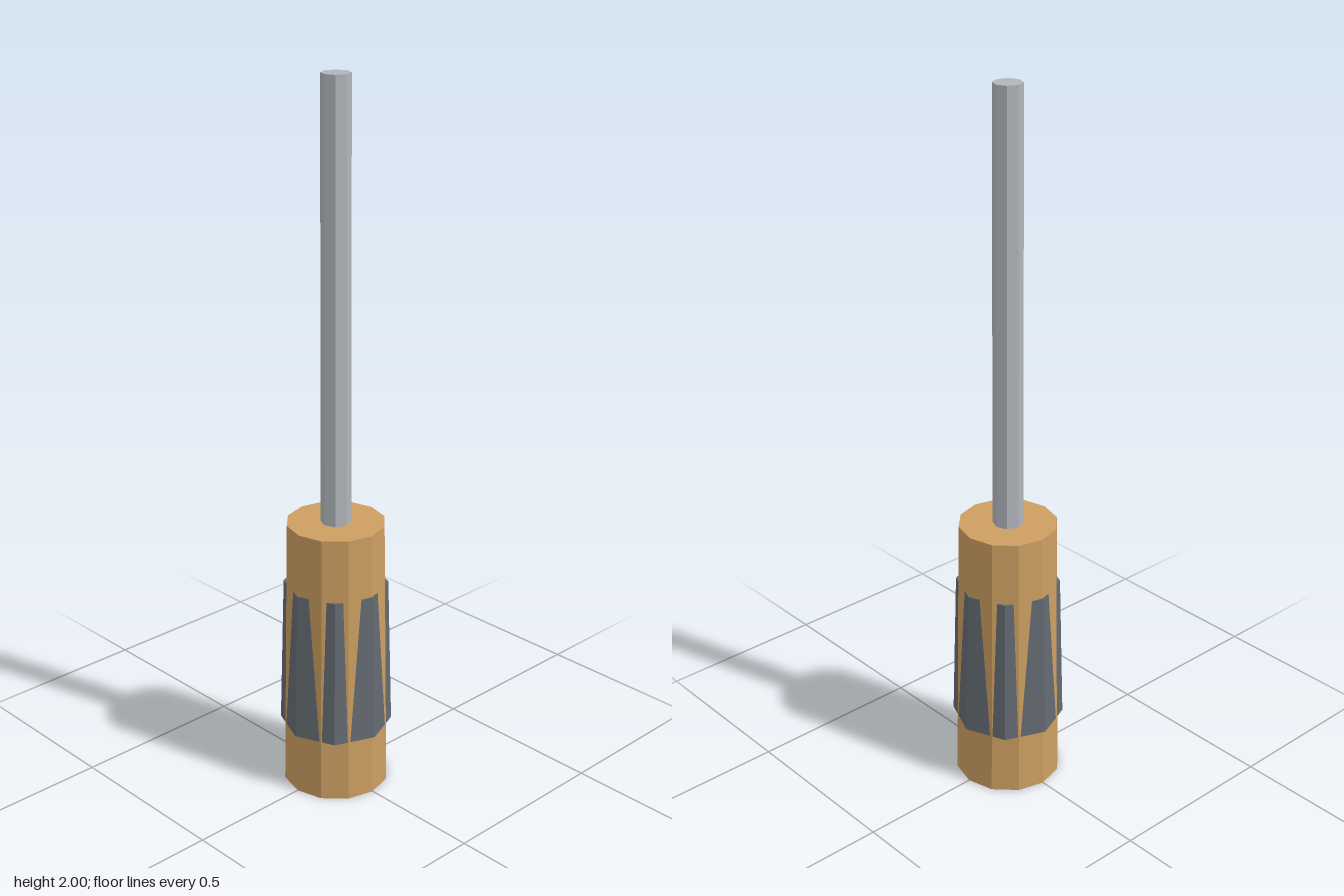
import * as THREE from 'three';

const flat = (name, color) => {
  const m = new THREE.MeshStandardMaterial({ color });
  m.name = name;
  m.flatShading = true;
  return m;
};

// Tapered prism standing between two heights, with a corner facing the front
function taper(name, rTop, rBottom, y0, y1, sides, material) {
  const geometry = new THREE.CylinderGeometry(rTop, rBottom, y1 - y0, sides);
  geometry.translate(0, (y0 + y1) / 2, 0);
  const mesh = new THREE.Mesh(geometry, material);
  mesh.name = name;
  return mesh;
}

export function createModel() {
  const group = new THREE.Group();
  group.name = 'screwdriver';

  const amber = flat('amber handle', 0xcc9e60);
  const rubber = flat('dark grey grip', 0x646b72);
  const steel = flat('steel', 0xb0b5ba);

  group.add(
    // Twelve-sided handle, slightly narrower at the top
    taper('handle', 0.137, 0.15, 0, 0.79, 12, amber),
    // Eight-sided sleeve whose corners break through the handle as ribs
    taper('grip', 0.1445, 0.157, 0.18, 0.61, 8, rubber),
    // Slim shaft
    taper('shaft', 0.039, 0.042, 0.78, 2, 8, steel)
  );
  return group;
}
